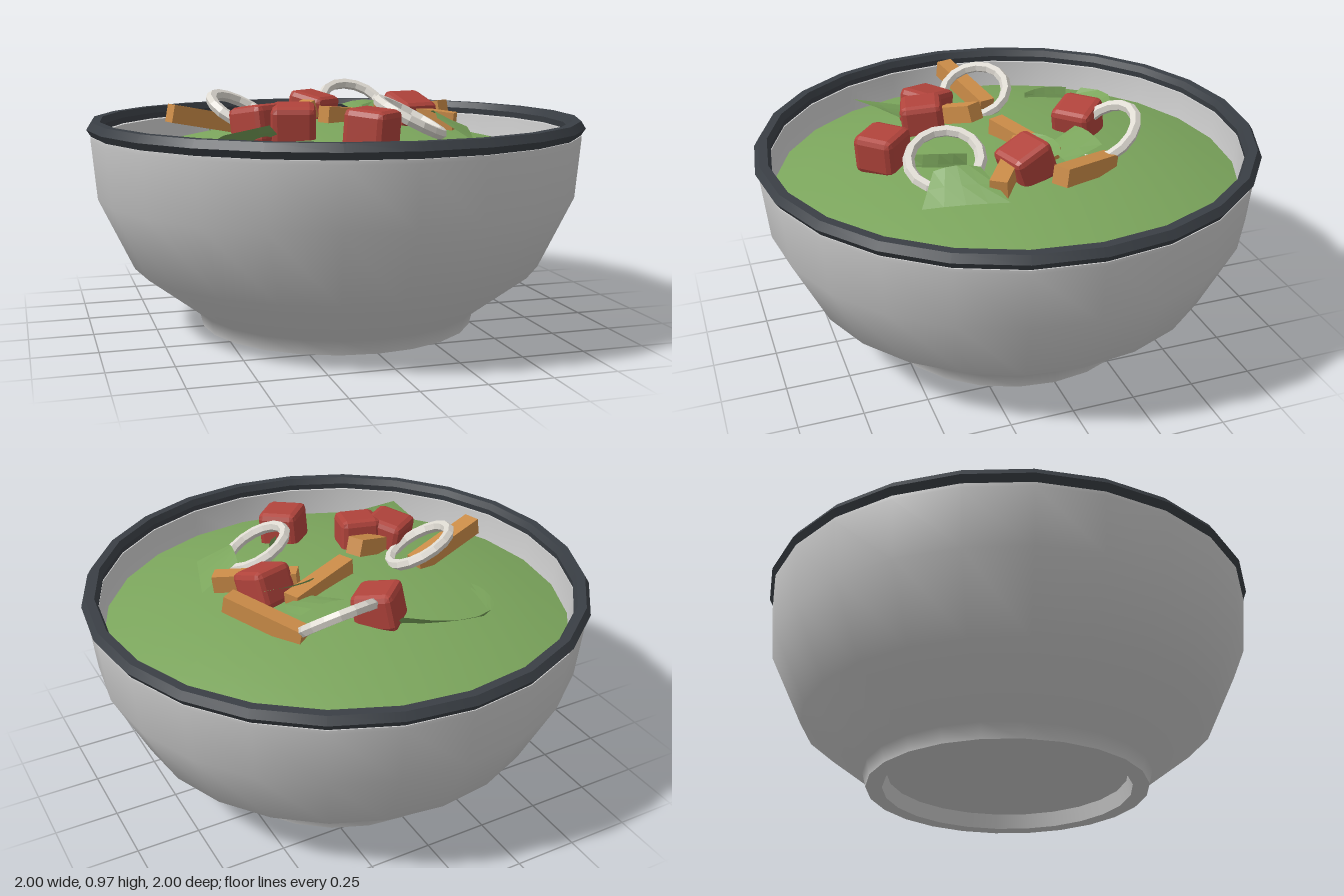
import * as THREE from 'three';
import { RoundedBoxGeometry } from 'three/addons/geometries/RoundedBoxGeometry.js';
import { mergeGeometries } from 'three/addons/utils/BufferGeometryUtils.js';

const SIDES = 24;
const V = (p) => new THREE.Vector3(...p);
const mat = (color, extra = {}) => new THREE.MeshStandardMaterial({ color, ...extra });

function lathe(points) {
  return new THREE.LatheGeometry(points.map(([x, y]) => new THREE.Vector2(x, y)), SIDES);
}

// Revolved profile with every band kept sharp against its neighbours
function bandedLathe(points) {
  return mergeGeometries(points.slice(1).map((p, i) => lathe([points[i], p])));
}

// Stick of rectangular section running from a to b
function stick(a, b, width, height) {
  const dir = V(b).sub(V(a));
  const g = new THREE.BoxGeometry(width, height, dir.length());
  const m = new THREE.Object3D();
  m.position.copy(V(a)).add(V(b)).multiplyScalar(0.5);
  m.lookAt(V(b));
  m.updateMatrix();
  return g.applyMatrix4(m.matrix);
}

// Four-cornered sheet (a-b along one edge, c-d along the other), bent by a bulge vector
function sheet([a, b, c, d], bulge) {
  const g = new THREE.PlaneGeometry(1, 1, 4, 2);
  const pos = g.attributes.position, uv = g.attributes.uv;
  for (let i = 0; i < pos.count; i++) {
    const u = uv.getX(i), v = 1 - uv.getY(i);
    const p = V(a).lerp(V(b), u).lerp(V(c).lerp(V(d), u), v);
    p.addScaledVector(V(bulge), 4 * u * (1 - u) * (1 - v * 0.7));
    pos.setXYZ(i, p.x, p.y, p.z);
  }
  g.computeVertexNormals();
  return g;
}

export function createModel() {
  const model = new THREE.Group();
  const add = (name, geometry, material, parent = model) => {
    const mesh = new THREE.Mesh(geometry, material);
    mesh.name = name;
    parent.add(mesh);
    return mesh;
  };
  const group = (name) => {
    const g = new THREE.Group();
    g.name = name;
    model.add(g);
    return g;
  };
  const grey = mat(0xcccccc);

  // Bowl: outer wall, hollow foot, lip and inner wall
  const bowl = group('bowl');
  add('outerWall', lathe([[0.56, 0], [0.575, 0.06], [0.83, 0.255], [0.965, 0.54], [0.985, 0.77], [0.985, 0.785]]), grey, bowl);
  add('foot', bandedLathe([[0, 0.06], [0.48, 0.06], [0.495, 0], [0.56, 0]]), grey, bowl);
  add('lip', lathe([[0.985, 0.785], [0.94, 0.785]]), grey, bowl);
  add('innerWall', lathe([[0.94, 0.785], [0.925, 0.6], [0.88, 0.5], [0.76, 0.28], [0, 0.2]]), grey, bowl);

  // Dark rim band
  add('rim', bandedLathe([[0.94, 0.79], [0.982, 0.786], [1, 0.813], [0.982, 0.842], [0.948, 0.842], [0.936, 0.815], [0.94, 0.79]]),
    mat(0x3a3f45));

  // Gently domed soup surface
  const dome = [];
  for (let i = 0; i <= 8; i++) {
    const t = 1 - i / 8;
    dome.push([0.93 * t, 0.82 - 0.15 * t * t]);
  }
  add('soup', lathe(dome), mat(0x7ba55c));

  // Chamfered tomato cubes: x, y, z, turn, tilt
  const tomatoes = group('tomatoCubes');
  const red = mat(0xb0433b, { flatShading: true });
  [
    [-0.015, 0.84, -0.31, 0.75, 0.22],
    [-0.37, 0.835, 0.23, 0.6, -0.15],
    [-0.25, 0.84, 0.28, -0.25, 0.1],
    [-0.01, 0.835, 0.505, 0.78, 0.08],
    [0.3, 0.845, 0.03, 0.3, 0.35],
  ].forEach(([x, y, z, turn, tilt]) => {
    const cube = add('tomatoCube', new RoundedBoxGeometry(0.17, 0.155, 0.17, 1, 0.025), red, tomatoes);
    cube.position.set(x, y, z);
    cube.rotation.set(tilt, turn, 0, 'YXZ');
  });

  // Onion rings, half sunk: centre, raised towards (x, z), slope
  const onions = group('onionRings');
  const white = mat(0xdcd8d0, { flatShading: true });
  [
    [[0.18, 0.86, -0.345], -0.15, -0.99, 0.66],
    [[0.205, 0.86, 0.32], -0.93, -0.36, 0.48],
    [[-0.39, 0.865, 0.01], -0.8, -0.6, 0.52],
  ].forEach(([centre, dx, dz, slope]) => {
    const ring = add('onionRing', new THREE.TorusGeometry(0.137, 0.023, 6, 16), white, onions);
    const normal = new THREE.Vector3(-dx * Math.sin(slope), Math.cos(slope), -dz * Math.sin(slope));
    ring.position.copy(V(centre));
    ring.quaternion.setFromUnitVectors(new THREE.Vector3(0, 0, 1), normal);
  });

  // Carrot sticks, end to end
  const carrots = group('carrotSticks');
  const orange = mat(0xcb8c48);
  [
    [[-0.685, 0.875, 0.06], [-0.345, 0.805, -0.03]],
    [[-0.38, 0.79, 0.225], [-0.13, 0.885, 0.09]],
    [[-0.06, 0.85, 0.03], [0.25, 0.82, -0.1]],
    [[0.485, 0.86, -0.035], [0.3, 0.795, -0.315]],
    [[0.17, 0.86, 0.0], [0.445, 0.825, 0.19]],
  ].forEach(([a, b]) => add('carrotStick', stick(a, b, 0.068, 0.07), orange, carrots));

  // Leaf pieces: corners and bend
  const leaves = group('leafPieces');
  const green = mat(0x7ba55c, { side: THREE.DoubleSide, flatShading: true });
  [
    [[[-0.56, 0.83, 0.5], [-0.38, 0.855, 0.44], [-0.62, 0.75, 0.28], [-0.31, 0.795, 0.31]], [0, 0, 0]],
    [[[-0.405, 0.81, -0.49], [-0.04, 0.85, -0.44], [-0.41, 0.755, -0.44], [-0.05, 0.78, -0.37]], [0, 0.01, -0.075]],
    [[[-0.455, 0.8, -0.44], [-0.475, 0.79, -0.25], [-0.44, 0.73, -0.43], [-0.47, 0.76, -0.25]], [-0.01, 0.01, 0]],
    [[[0.1, 0.87, -0.25], [0.3, 0.87, -0.28], [0.165, 0.83, -0.1], [0.33, 0.83, -0.125]], [0, 0.015, 0]],
    [[[0.13, 0.88, -0.06], [0.36, 0.89, -0.085], [0.13, 0.83, -0.02], [0.34, 0.85, -0.01]], [0, 0.01, -0.03]],
    [[[0.33, 0.87, 0.22], [0.29, 0.86, 0.39], [0.51, 0.8, 0.165], [0.41, 0.775, 0.47]], [0.0, 0.015, 0]],
    [[[0.165, 0.85, 0.22], [0.06, 0.83, 0.43], [0.185, 0.77, 0.23], [0.07, 0.75, 0.44]], [0.03, 0.015, 0]],
  ].forEach(([corners, bulge]) => add('leafPiece', sheet(corners, bulge), green, leaves));

  return model;
}
